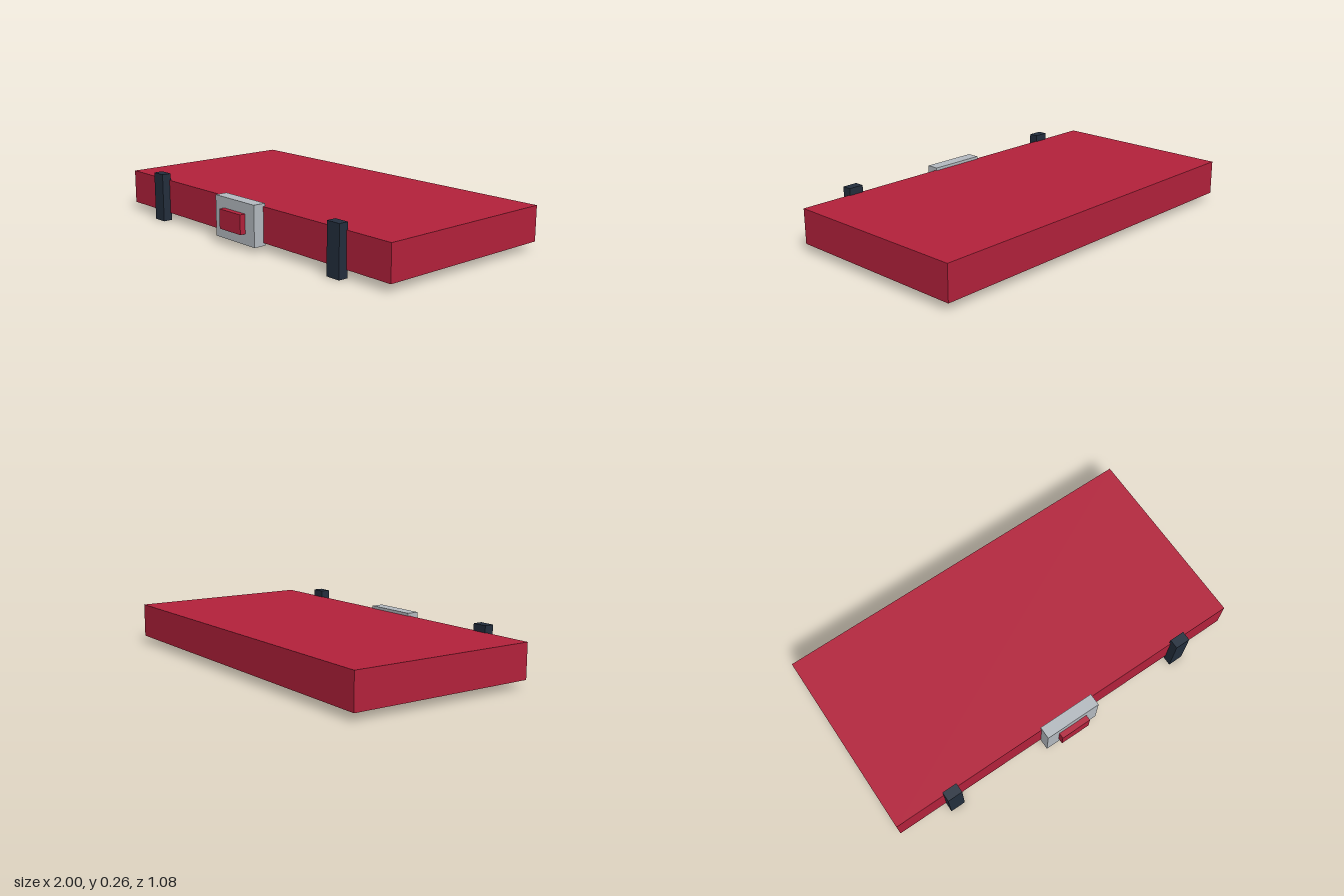
import * as THREE from 'three';

const material = (name, color) => {
  const m = new THREE.MeshStandardMaterial({ color });
  m.name = name;
  return m;
};

// Box given by its lower and upper corners
function block(name, mat, [x0, y0, z0], [x1, y1, z1]) {
  const mesh = new THREE.Mesh(new THREE.BoxGeometry(x1 - x0, y1 - y0, z1 - z0), mat);
  mesh.position.set((x0 + x1) / 2, (y0 + y1) / 2, (z0 + z1) / 2);
  mesh.name = name;
  return mesh;
}

export function createModel() {
  const red = material('crimson', 0xb3213b);
  const silver = material('silver', 0xb4bac0);
  const navy = material('dark navy', 0x232e3d);

  const group = new THREE.Group();
  group.name = 'strappedSlab';

  // Main flat body
  group.add(block('body', red, [-1, 0.04, -0.542], [1, 0.22, 0.456]));

  // Central clasp plate with its raised button
  group.add(block('claspPlate', silver, [-0.153, 0.025, 0.446], [0.153, 0.235, 0.512]));
  group.add(block('claspButton', red, [-0.083, 0.08, 0.505], [0.083, 0.18, 0.542]));

  // Upright straps on either side of the clasp
  for (const side of [-1, 1]) {
    const x = side * 0.69;
    const name = side > 0 ? 'leftStrap' : 'rightStrap';
    group.add(block(name, navy, [x - 0.04, 0, 0.448], [x + 0.04, 0.256, 0.499]));
  }
  return group;
}
